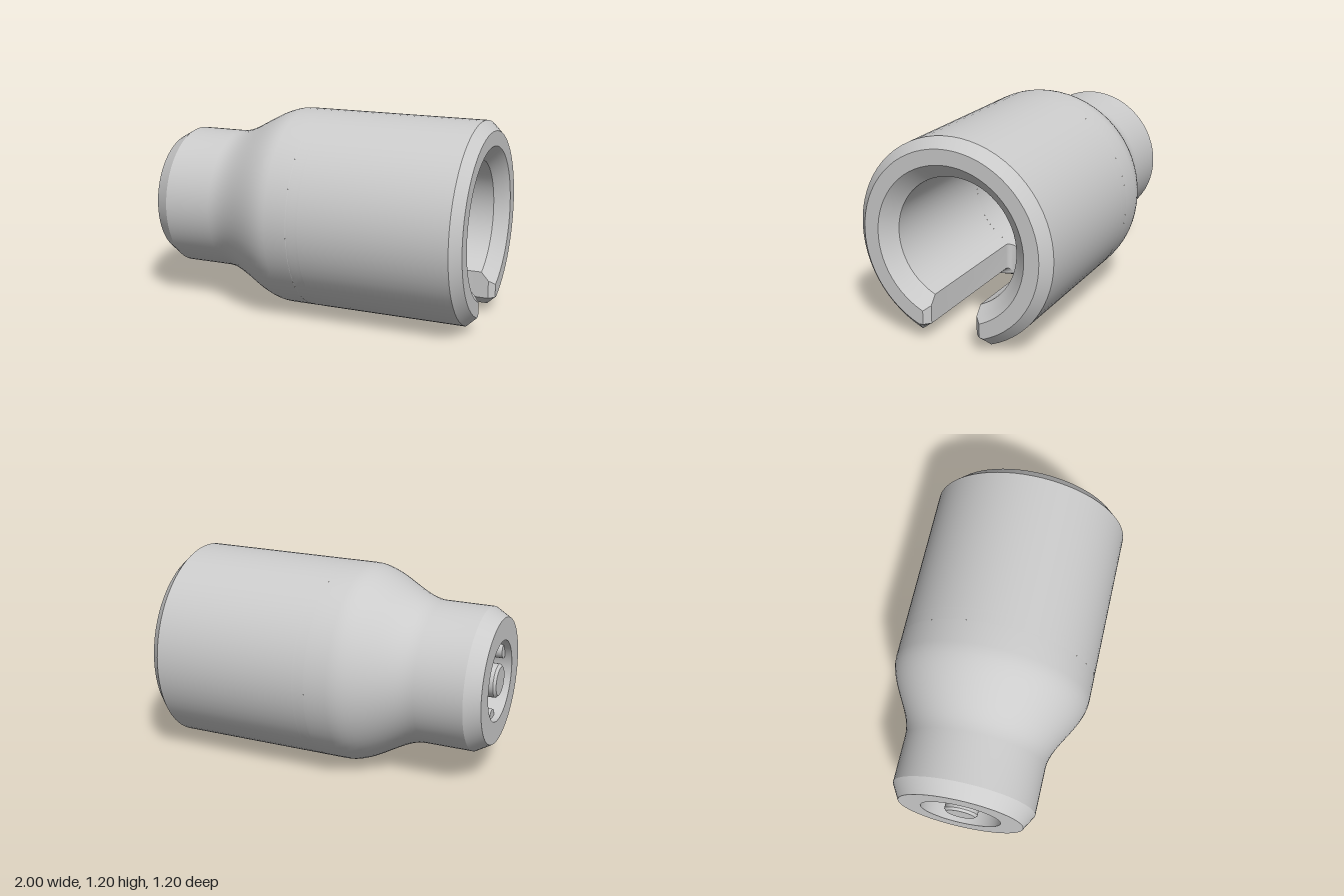
import * as THREE from 'three';
import { toCreasedNormals, mergeVertices } from 'three/addons/utils/BufferGeometryUtils.js';

const mat = new THREE.MeshStandardMaterial({ color: 0xcccccc });
const R = 0.6, BORE = 0.37, SLOT_END = 0.05, RIM = -0.025, FLOOR = -0.2;

function add(group, geo, name) {
  const mesh = new THREE.Mesh(geo, mat);
  mesh.name = name;
  group.add(mesh);
  return mesh;
}

// Revolve [x, radius] pairs about the x axis
function revolve(pairs, segments = 64) {
  const geo = new THREE.LatheGeometry(pairs.map(([x, r]) => new THREE.Vector2(r, x)), segments);
  geo.rotateZ(-Math.PI / 2);
  return toCreasedNormals(geo, 0.4);
}

// Join closed [z, y] loops placed at increasing x
function loft(sections) {
  const pos = [], idx = [], n = sections[0].loop.length;
  sections.forEach(({ x, loop }) => loop.forEach(([z, y]) => pos.push(x, y, z)));
  for (let i = 0; i < sections.length - 1; i++) {
    for (let j = 0; j < n; j++) {
      const a = i * n + j, d = i * n + (j + 1) % n;
      idx.push(a, a + n, d + n, a, d + n, d);
    }
  }
  const geo = new THREE.BufferGeometry();
  geo.setAttribute('position', new THREE.Float32BufferAttribute(pos, 3));
  geo.setIndex(idx);
  return toCreasedNormals(mergeVertices(geo), 0.4);
}

// Flat cap facing +x
function cap(loop, x) {
  const geo = new THREE.ShapeGeometry(new THREE.Shape(loop.map(([z, y]) => new THREE.Vector2(-z, y))));
  return geo.rotateY(Math.PI / 2).translate(x, 0, 0);
}

// Arc of [z, y] points; angle 0 points straight down
function arc(r, from, to, n = 60) {
  return Array.from({ length: n + 1 }, (_, i) => {
    const a = from + (to - from) * i / n;
    return [r * Math.sin(a), -r * Math.cos(a)];
  });
}

const lerp = THREE.MathUtils.lerp;
const ramp = (x, a, b) => THREE.MathUtils.clamp((x - a) / (b - a), 0, 1);
const outerR = x => lerp(R, 0.543, ramp(x, 0.94, 1));
const innerR = x => lerp(BORE, 0.455, ramp(x, 0.92, 1));

// Half width of the slot with rounded end corners, at its wall or its outer chamfer
function halfWidth(x, radius) {
  const d = Math.max(0, 0.09 - x);
  return 0.105 + Math.sqrt(Math.max(0, radius * radius - d * d));
}
const wall = x => halfWidth(x, 0.04) + 0.035 * ramp(x, 0.965, 1);
const chamfer = x => halfWidth(x, 0.115) - 0.015 * ramp(x, 0.94, 1);

function outerArc(x) {
  const a = Math.asin(chamfer(x) / outerR(x));
  return arc(outerR(x), a, 2 * Math.PI - a);
}

export function createModel() {
  const model = new THREE.Group();
  model.name = 'slottedSleeve';
  const body = new THREE.Group();
  body.name = 'body';
  body.position.y = R;
  model.add(body);

  // Rear recess, neck and S-shaped shoulder
  const rear = [[-0.85, 0], [-0.85, 0.24], [-1, 0.24], [-1, 0.375], [-0.91, 0.427]];
  for (let i = 0; i <= 14; i++) {
    rear.push([lerp(-0.62, -0.16, i / 14), lerp(0.427, R, THREE.MathUtils.smoothstep(i / 14, 0, 1))]);
  }
  rear.push([RIM, R]);
  add(body, revolve(rear), 'neckAndShoulder');

  // Bore behind the slot, with a fine groove in its floor
  add(body, revolve([[SLOT_END, BORE], [FLOOR, BORE], [FLOOR, 0.235], [FLOOR - 0.03, 0.235],
    [FLOOR - 0.03, 0.229], [FLOOR, 0.229], [FLOOR, 0]]), 'boreFloor');

  // Sloped outer rim at the closed end of the slot
  const rimSections = [0, 0.1, 0.25, 0.5, 0.75, 1].map(t => {
    const x = lerp(RIM, SLOT_END, t), y = lerp(-0.5907, -0.54, t);
    return { x, loop: [...outerArc(x), [-0.105, y], [0.105, y]] };
  });
  add(body, loft(rimSections), 'slotEndRim');

  // Flat wall closing the slot
  const a0 = Math.asin(0.105 / BORE);
  add(body, cap([[-0.105, -0.54], [0.105, -0.54], ...arc(BORE, a0, -a0, 10)], SLOT_END), 'slotEndWall');

  // C-shaped barrel with chamfered mouth and slot edges
  const barrel = [0.05, 0.054, 0.062, 0.075, 0.09, 0.92, 0.94, 0.965, 1].map(x => {
    const w = wall(x), y = -0.54 + Math.min(w - 0.105, 0.04), b = Math.asin(w / innerR(x));
    return { x, loop: [...outerArc(x), [-w, y], ...arc(innerR(x), 2 * Math.PI - b, b), [w, y]] };
  });
  add(body, loft(barrel), 'slottedBarrel');
  add(body, cap(barrel[barrel.length - 1].loop, 1), 'barrelEndFace');

  // Hexagonal rod end in the bore floor
  const hex = new THREE.CylinderGeometry(0.082, 0.082, 0.02, 6).rotateZ(-Math.PI / 2);
  const rod = add(body, toCreasedNormals(hex, 0.4), 'hexRodEnd');
  rod.position.x = FLOOR - 0.008;
  rod.rotation.x = 0.15;

  // Centre pin and keys in the rear recess
  add(body, revolve([[-1, 0], [-1, 0.085], [-0.985, 0.1], [-0.85, 0.1]], 32), 'centrePin');
  for (let i = 0; i < 3; i++) {
    const a = i * 2 * Math.PI / 3;
    const key = new THREE.CylinderGeometry(0.05, 0.05, 0.12, 20).rotateZ(-Math.PI / 2);
    add(body, key, 'recessKey').position.set(-0.9, -0.235 * Math.cos(a), 0.235 * Math.sin(a));
  }
  return model;
}
